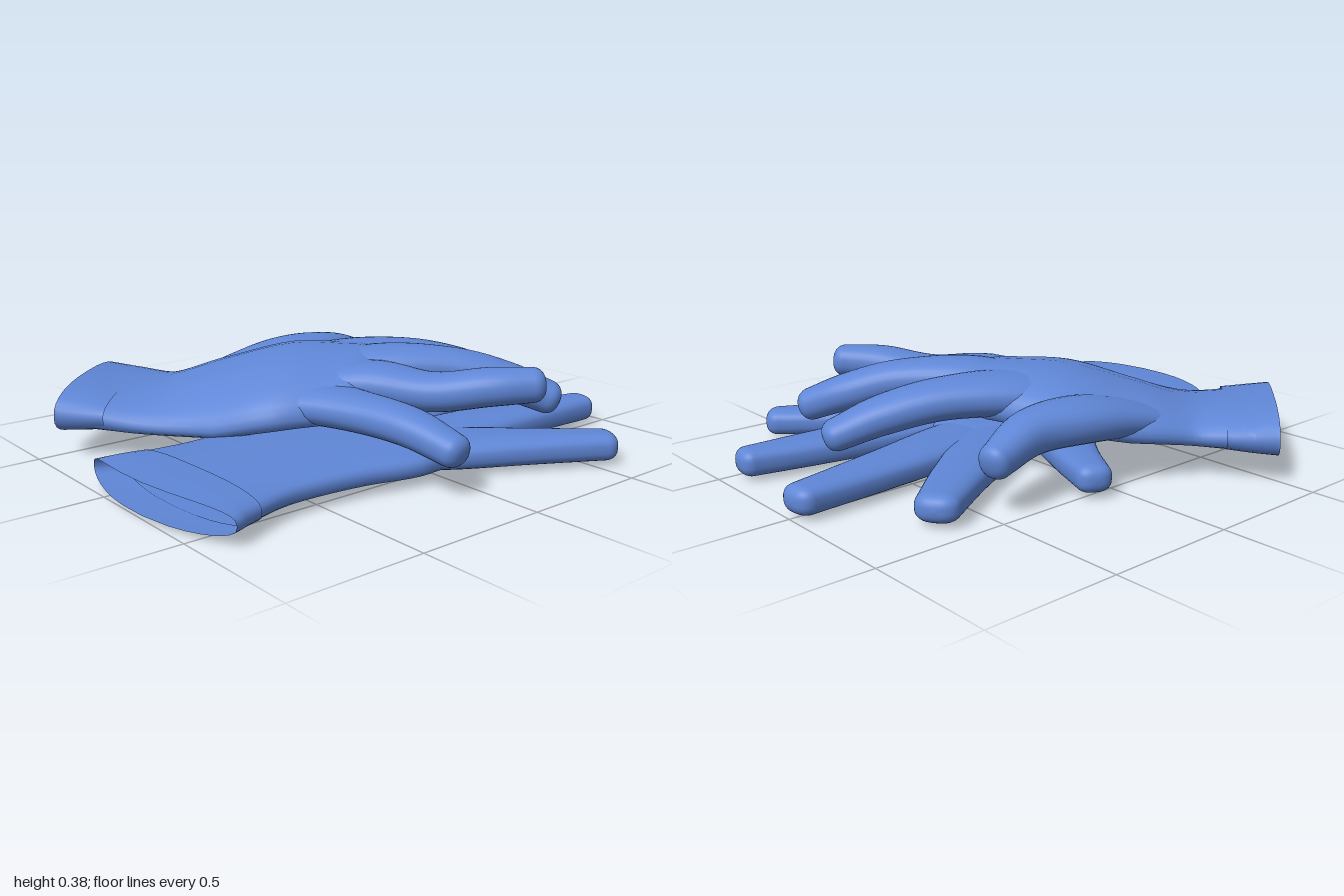
import * as THREE from 'three';

const fabric = new THREE.MeshStandardMaterial({ color: 0x5f86d6, side: THREE.DoubleSide });
const SIDES = 32;

// Flattened tube through stations [x, y, z, halfWidth, halfHeight].
// cap: length of the blunt end (0 = open), droop: sag of both edges, tilt: lean towards the right edge,
// bow: how far the middle of the first ring bulges backwards, square: < 1 is boxier.
function sweep(name, stations, { cap = 0, droop = 0, tilt = 0, bow = 0, square = 0.85 } = {}) {
  const steps = 6;
  const path = new THREE.CatmullRomCurve3(stations.map(s => new THREE.Vector3(s[0], s[1], s[2])), false, 'catmullrom');
  const size = new THREE.CatmullRomCurve3(stations.map(s => new THREE.Vector3(s[3], s[4], 0)), false, 'catmullrom');
  const rows = (stations.length - 1) * steps;
  const rings = [];
  for (let i = 0; i <= rows; i++) {
    const t = i / rows, r = size.getPoint(t);
    rings.push({ c: path.getPoint(t), dir: path.getTangent(t), w: r.x, h: r.y, bow: bow * (1 - t) });
  }
  if (cap) {
    const end = rings[rows];
    for (let k = 1; k <= 8; k++) {
      const a = (k / 8) * Math.PI / 2, s = Math.pow(Math.max(Math.cos(a), 1e-5), 0.75);
      rings.push({ ...end, c: end.c.clone().addScaledVector(end.dir, cap * Math.sin(a)), w: end.w * s, h: end.h * s, bow: 0 });
    }
  }
  const pos = [], index = [];
  const soft = v => Math.sign(v) * Math.pow(Math.abs(v), square);
  rings.forEach(({ c, dir, w, h, bow: b }, i) => {
    const side = new THREE.Vector3(-dir.z, 0, dir.x).normalize();
    const up = side.clone().cross(dir);
    for (let j = 0; j < SIDES; j++) {
      const a = (j / SIDES) * Math.PI * 2, u = soft(Math.cos(a));
      const p = c.clone().addScaledVector(side, w * u).addScaledVector(up, h * soft(Math.sin(a)));
      p.addScaledVector(dir, -b * (1 - u * u));
      p.y -= (droop * u * u + tilt * u) * Math.min(1, i / (steps * 2));
      pos.push(p.x, p.y, p.z);
      if (i < rings.length - 1) {
        const n = (j + 1) % SIDES, q = i * SIDES;
        index.push(q + j, q + SIDES + j, q + n, q + n, q + SIDES + j, q + SIDES + n);
      }
    }
  });
  const geo = new THREE.BufferGeometry();
  geo.setAttribute('position', new THREE.Float32BufferAttribute(pos, 3));
  geo.setIndex(index);
  geo.computeVertexNormals();
  const mesh = new THREE.Mesh(geo, fabric);
  mesh.name = name;
  return mesh;
}

function glove(name, { palm, palmOptions, hem, hemOptions, fingers, square }) {
  const g = new THREE.Group();
  g.name = name;
  g.add(sweep('palm', palm, palmOptions), sweep('cuffHem', hem, hemOptions));
  for (const [part, stations] of Object.entries(fingers)) {
    const tip = stations[stations.length - 1][3];
    g.add(sweep(part, stations, { cap: tip * 0.7, square }));
  }
  return g;
}

export function createModel() {
  const model = new THREE.Group();
  model.name = 'pairOfGloves';

  // Lower glove, lying flat with spread fingers
  model.add(glove('lowerGlove', {
    square: 0.75,
    palm: [
      [0.24, 0.072, 0.84, 0.355, 0.055], [0.23, 0.073, 0.62, 0.315, 0.057], [0.225, 0.073, 0.32, 0.34, 0.06],
      [0.25, 0.07, 0.08, 0.36, 0.062], [0.28, 0.067, -0.09, 0.32, 0.062],
    ],
    palmOptions: { cap: 0.13, square: 0.7, bow: 0.04 },
    hem: [
      [0.248, 0.073, 0.93, 0.385, 0.056], [0.243, 0.073, 0.87, 0.37, 0.059], [0.24, 0.073, 0.79, 0.348, 0.058],
    ],
    hemOptions: { bow: 0.07, square: 0.7 },
    fingers: {
      outerFinger: [[0.38, 0.07, 0.14, 0.13, 0.04], [0.51, 0.07, -0.12, 0.14, 0.056], [0.67, 0.07, -0.35, 0.1, 0.055], [0.818, 0.068, -0.57, 0.072, 0.052]],
      ringFinger: [[0.36, 0.07, 0.04, 0.12, 0.04], [0.378, 0.07, -0.26, 0.13, 0.056], [0.408, 0.07, -0.6, 0.1, 0.055], [0.445, 0.068, -0.9, 0.066, 0.052]],
      middleFinger: [[0.2, 0.07, 0.04, 0.12, 0.04], [0.11, 0.07, -0.26, 0.135, 0.056], [0.042, 0.07, -0.6, 0.107, 0.055], [-0.008, 0.068, -0.95, 0.072, 0.052]],
      indexFinger: [[0.14, 0.07, 0.14, 0.12, 0.04], [-0.02, 0.07, -0.16, 0.13, 0.056], [-0.2, 0.07, -0.44, 0.103, 0.055], [-0.36, 0.068, -0.66, 0.079, 0.052]],
      thumb: [[0.1, 0.07, 0.3, 0.14, 0.04], [-0.12, 0.07, 0.13, 0.12, 0.055], [-0.32, 0.073, 0.0, 0.09, 0.054], [-0.515, 0.075, -0.105, 0.066, 0.052]],
    },
  }));

  // Upper glove, arched and resting across the lower one
  model.add(glove('upperGlove', {
    square: 0.9,
    palm: [
      [-0.61, 0.165, 0.65, 0.317, 0.08], [-0.43, 0.172, 0.5, 0.3, 0.064], [-0.27, 0.222, 0.32, 0.36, 0.08],
      [-0.1, 0.27, 0.15, 0.385, 0.095], [0.07, 0.284, 0.0, 0.31, 0.09],
    ],
    palmOptions: { cap: 0.14, droop: 0.06, tilt: 0.025, square: 0.8 },
    hem: [
      [-0.67, 0.165, 0.705, 0.322, 0.095], [-0.6, 0.162, 0.645, 0.319, 0.084], [-0.53, 0.161, 0.585, 0.314, 0.07],
    ],
    hemOptions: { square: 0.8 },
    fingers: {
      thumb: [[-0.42, 0.17, 0.42, 0.15, 0.03], [-0.405, 0.215, 0.18, 0.145, 0.065], [-0.4, 0.25, -0.06, 0.128, 0.08], [-0.385, 0.245, -0.28, 0.09, 0.077], [-0.425, 0.195, -0.47, 0.06, 0.062]],
      indexFinger: [[-0.23, 0.25, 0.2, 0.13, 0.04], [-0.09, 0.285, -0.07, 0.15, 0.078], [0.03, 0.285, -0.33, 0.115, 0.075], [0.13, 0.24, -0.53, 0.098, 0.07], [0.205, 0.18, -0.675, 0.076, 0.058]],
      middleFinger: [[-0.12, 0.26, 0.16, 0.12, 0.04], [0.11, 0.305, -0.09, 0.13, 0.077], [0.31, 0.3, -0.31, 0.098, 0.073], [0.45, 0.25, -0.46, 0.092, 0.07], [0.56, 0.195, -0.56, 0.073, 0.062]],
      ringFinger: [[-0.06, 0.25, 0.21, 0.12, 0.04], [0.2, 0.28, 0.03, 0.125, 0.075], [0.42, 0.265, -0.09, 0.092, 0.07], [0.58, 0.295, -0.21, 0.086, 0.068], [0.685, 0.305, -0.325, 0.068, 0.062]],
      littleFinger: [[-0.16, 0.2, 0.36, 0.13, 0.03], [0.12, 0.22, 0.225, 0.14, 0.068], [0.35, 0.22, 0.17, 0.1, 0.068], [0.55, 0.205, 0.13, 0.084, 0.064], [0.73, 0.165, 0.11, 0.063, 0.056]],
    },
  }));

  // Stand on the ground
  model.position.y = -new THREE.Box3().setFromObject(model).min.y;
  return model;
}
